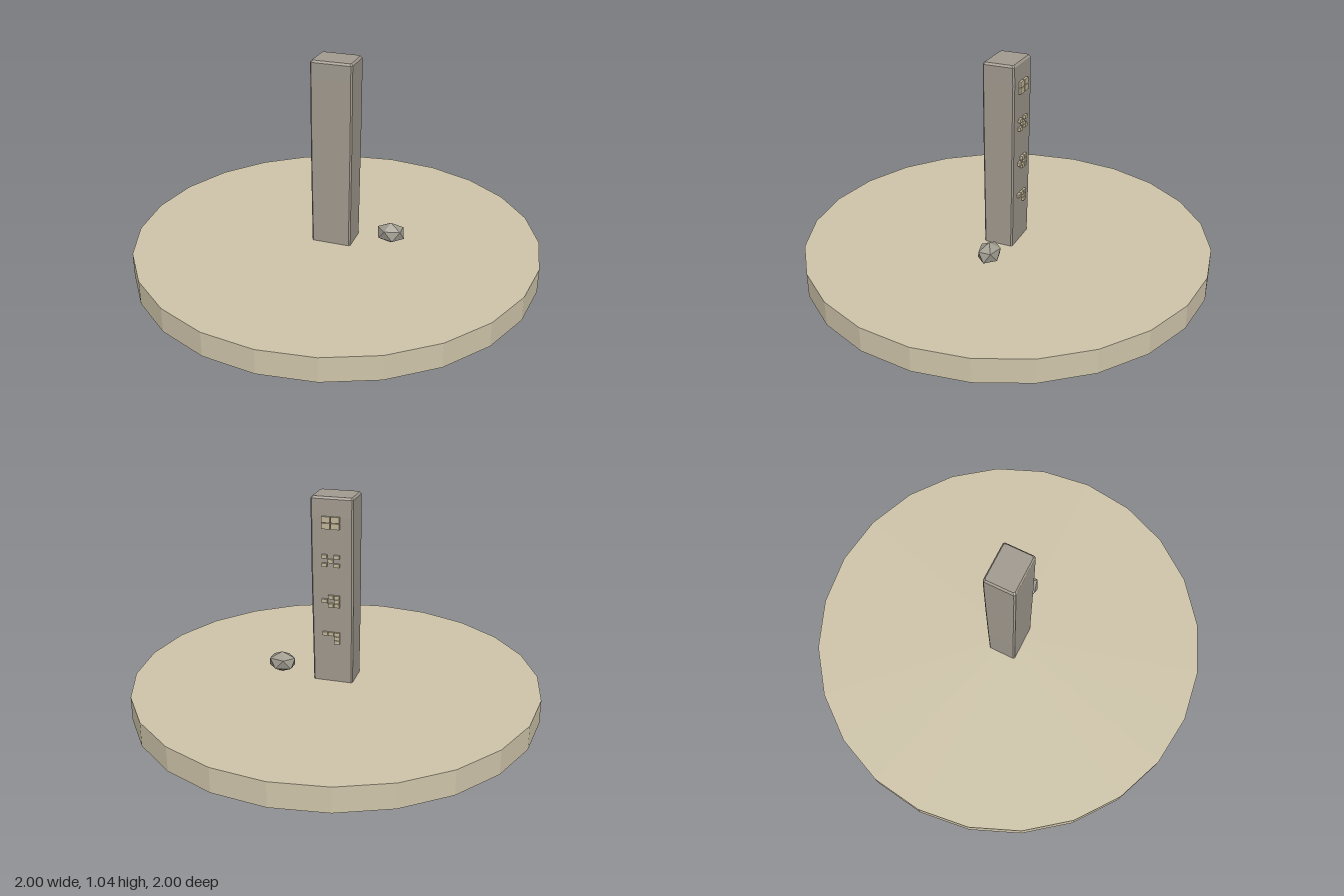
import * as THREE from 'three';

const mat = (name, color) => {
  const m = new THREE.MeshStandardMaterial({ color });
  m.name = name;
  m.flatShading = true;
  return m;
};

// Lofted slab: chamfered rectangular cross-sections [y, halfX, halfZ, offsetX, offsetZ]
function loftSlab(rings, c) {
  const pos = [], idx = [];
  for (const [y, w, d, ox, oz] of rings) {
    const loop = [[w, d - c], [w - c, d], [c - w, d], [-w, d - c], [-w, c - d], [c - w, -d], [w - c, -d], [w, c - d]];
    for (const [x, z] of loop) pos.push(x + ox, y, z + oz);
  }
  for (let r = 0; r < rings.length - 1; r++) {
    for (let i = 0; i < 8; i++) {
      const a = r * 8 + i, b = r * 8 + (i + 1) % 8;
      idx.push(a, a + 8, b, b, a + 8, b + 8);
    }
  }
  const t = (rings.length - 1) * 8;
  for (let i = 1; i < 7; i++) {
    idx.push(0, i, i + 1); // bottom cap
    idx.push(t, t + i + 1, t + i); // top cap
  }
  const g = new THREE.BufferGeometry();
  g.setAttribute('position', new THREE.Float32BufferAttribute(pos, 3));
  g.setIndex(idx);
  const flat = g.toNonIndexed();
  flat.computeVertexNormals();
  return flat;
}

export function createModel() {
  const group = new THREE.Group();
  const sand = mat('sand', 0xcfc5aa);
  const stone = mat('stone', 0xa29b90);
  const rockGrey = mat('rock grey', 0xa09c90);
  const carving = mat('pale carving', 0xc4b89a);

  const add = (name, geometry, material, x = 0, y = 0, z = 0, parent = group) => {
    const mesh = new THREE.Mesh(geometry, material);
    mesh.name = name;
    mesh.position.set(x, y, z);
    parent.add(mesh);
    return mesh;
  };

  // Round ground disc
  add('groundDisc', new THREE.CylinderGeometry(1, 1, 0.12, 24), sand, 0, 0.06, 0);

  // Upright monolith, slightly uneven, with worn edges
  add('monolith', loftSlab([
    [0.12, 0.098, 0.073, -0.002, 0.009],
    [0.35, 0.1, 0.075, -0.002, 0.007],
    [0.65, 0.102, 0.077, -0.001, 0.005],
    [0.95, 0.102, 0.079, 0, 0.003],
    [1.035, 0.102, 0.078, 0, 0.003],
    [1.045, 0.094, 0.071, 0, 0.003],
  ], 0.007), stone);

  // Carved signs on the back; columns read as seen from behind
  const signs = [
    { y: 0.925, z: -0.079, rows: ['##', '##'] },
    { y: 0.742, z: -0.078, rows: ['#.#', '.#.', '#.#'] },
    { y: 0.542, z: -0.076, rows: ['.##', '#.#', '.##'] },
    { y: 0.352, z: -0.072, rows: ['###', '..#', '..#'] },
  ];
  const signWidth = 0.09, signHeight = 0.062;
  signs.forEach(({ y, z, rows }, s) => {
    const sign = new THREE.Group();
    sign.name = 'carvedSign' + (s + 1);
    sign.position.set(0.004, y, z);
    const n = rows.length, cw = signWidth / n, ch = signHeight / n;
    const block = new THREE.BoxGeometry(cw - 0.004, ch - 0.003, 0.016);
    rows.forEach((row, r) => [...row].forEach((cell, c) => {
      if (cell === '#') add('signBlock', block, carving, ((n - 1) / 2 - c) * cw, ((n - 1) / 2 - r) * ch, 0, sign);
    }));
    group.add(sign);
  });

  // Faceted boulder standing on a point
  const boulder = new THREE.IcosahedronGeometry(1, 0);
  boulder.rotateZ(Math.atan(2 / (1 + Math.sqrt(5))));
  boulder.scale(0.075, 0.053, 0.058);
  boulder.computeVertexNormals();
  add('boulder', boulder, rockGrey, 0.273, 0.173, -0.024);

  return group;
}
